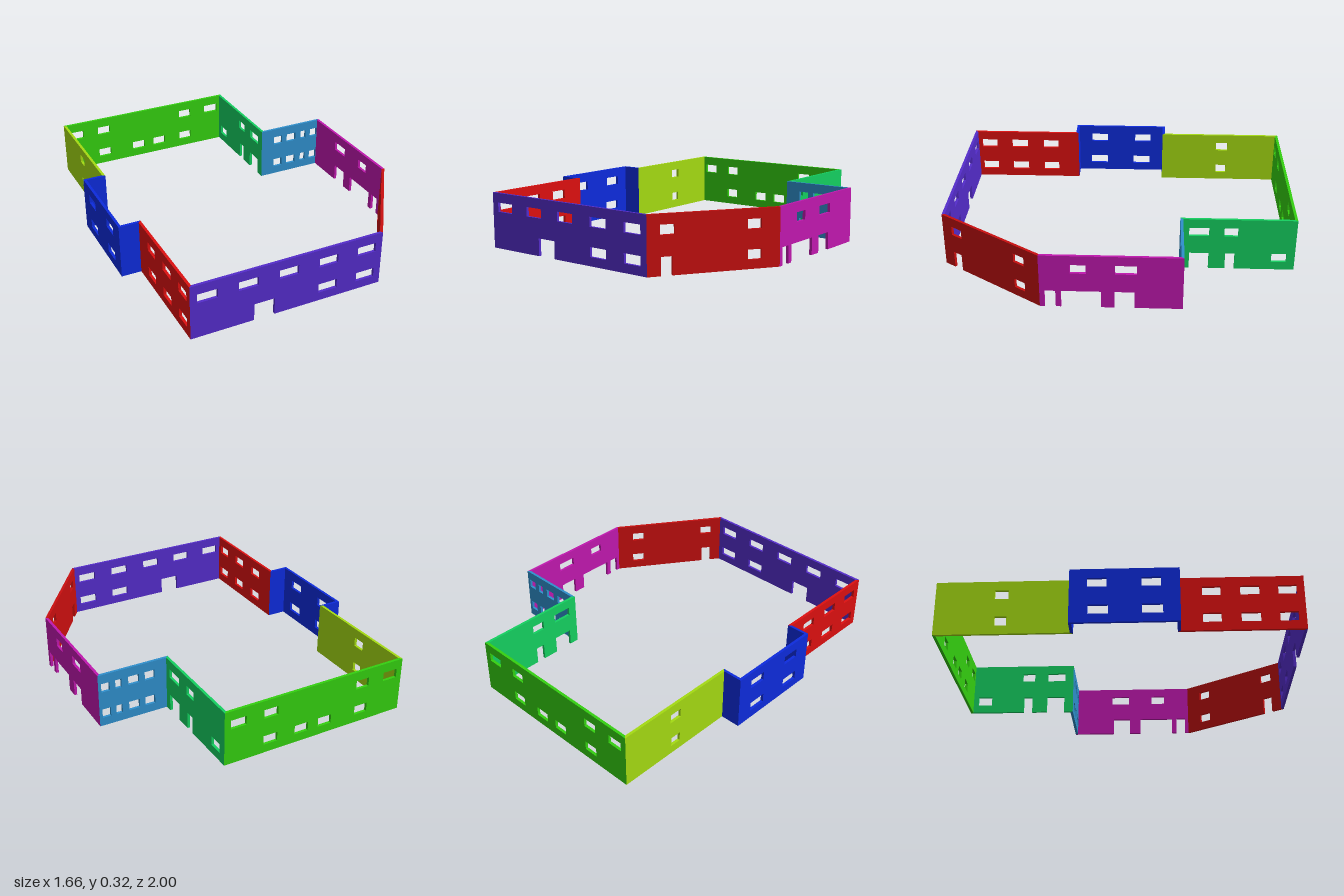
import * as THREE from 'three';

const H = 0.32, T = 0.016;             // wall height and thickness
const UP = [0.212, 0.265], LOW = [0.05, 0.104], DOOR = 0.1;

// Walls in order around the plan. Openings are [from, to] spans along the
// given world axis: upper windows, lower windows and doors.
const walls = [
  { name: 'frontWall', color: 0x542cca, start: [-0.71, 1], axis: 0,
    up: [[-0.673, -0.56], [-0.442, -0.33], [-0.207, -0.095], [0.03, 0.143], [0.265, 0.377]],
    low: [[0.03, 0.143], [0.265, 0.377]], doors: [[-0.353, -0.233]] },
  { name: 'diagonalWall', color: 0xc90f0f, start: [0.417, 1], axis: 1,
    up: [[0.942, 0.88], [0.557, 0.495]], low: [[0.557, 0.495]], doors: [[0.94, 0.89]] },
  { name: 'rightWall', color: 0xc018ae, start: [0.828, 0.41], axis: 1,
    up: [[0.243, 0.158], [0.003, -0.112]],
    doors: [[0.383, 0.324], [0.295, 0.08], [0.008, -0.1]] },
  { name: 'rightReturnWall', color: 0x2f8fcc, start: [0.828, -0.36], axis: 0,
    up: [[0.81, 0.76], [0.727, 0.69], [0.65, 0.585], [0.55, 0.49]],
    low: [[0.81, 0.76], [0.727, 0.69], [0.65, 0.585], [0.55, 0.49]] },
  { name: 'rightRearWall', color: 0x14d060, start: [0.417, -0.36], axis: 1,
    up: [[-0.396, -0.509], [-0.594, -0.672]], low: [[-0.867, -0.953]],
    doors: [[-0.4, -0.511], [-0.605, -0.659]] },
  { name: 'backWall', color: 0x34d010, start: [0.417, -1], axis: 0,
    up: [[0.38, 0.287], [0.18, 0.095], [-0.407, -0.49], [-0.59, -0.68]],
    low: [[0.18, 0.095], [-0.015, -0.1], [-0.165, -0.25], [-0.407, -0.49]] },
  { name: 'leftRearWall', color: 0xa4da12, start: [-0.714, -1], axis: 1,
    up: [[-0.675, -0.6]], low: [[-0.67, -0.605]] },
  { name: 'bayRearReturn', color: 0x0d2bdd, start: [-0.714, -0.26], axis: 0 },
  { name: 'bayWall', color: 0x0d2bdd, start: [-0.83, -0.26], axis: 1,
    up: [[-0.165, -0.06], [0.125, 0.23]], low: [[-0.16, -0.05], [0.126, 0.238]] },
  { name: 'bayFrontReturn', color: 0x0d2bdd, start: [-0.83, 0.33], axis: 0 },
  { name: 'leftFrontWall', color: 0xdd1010, start: [-0.714, 0.33], axis: 1,
    up: [[0.45, 0.55], [0.655, 0.76], [0.86, 0.96]],
    low: [[0.45, 0.55], [0.655, 0.76], [0.86, 0.96]] },
];
walls[0].start[0] = -0.714;

const wrap = (a) => Math.atan2(Math.sin(a), Math.cos(a));
const poly = (pts) => pts.map(([x, y]) => new THREE.Vector2(x, y));

function buildWall(w, a, b, turnIn, turnOut) {
  const L = Math.hypot(b[0] - a[0], b[1] - a[1]);
  // world span -> sorted distances along the wall
  const along = (span) => span
    .map((v) => (v - a[w.axis]) / (b[w.axis] - a[w.axis]) * L)
    .sort((p, q) => p - q);

  // elevation with door notches cut from the bottom edge
  const pts = [[0, 0]];
  (w.doors || []).map(along).sort((p, q) => p[0] - q[0]).forEach(([s, e]) =>
    pts.push([s, 0], [s, DOOR], [e, DOOR], [e, 0]));
  pts.push([L, 0], [L, H], [0, H]);
  const shape = new THREE.Shape(poly(pts));

  // window holes
  const cut = (spans, [y0, y1]) => (spans || []).map(along).forEach(([s, e]) =>
    shape.holes.push(new THREE.Path(poly([[s, y0], [s, y1], [e, y1], [e, y0]]))));
  cut(w.up, UP);
  cut(w.low, LOW);

  const geo = new THREE.ExtrudeGeometry(shape, { depth: T, bevelEnabled: false });
  geo.translate(0, 0, -T);
  // mitre the inner ends so neighbouring walls meet cleanly
  const p = geo.attributes.position;
  for (let i = 0; i < p.count; i++) {
    if (p.getZ(i) > -T / 2) continue;
    if (p.getX(i) < 1e-4) p.setX(i, T * Math.tan(turnIn / 2));
    else if (p.getX(i) > L - 1e-4) p.setX(i, L - T * Math.tan(turnOut / 2));
  }
  geo.computeVertexNormals();

  const mesh = new THREE.Mesh(geo, new THREE.MeshStandardMaterial({ color: w.color }));
  mesh.name = w.name;
  mesh.position.set(a[0], 0, a[1]);
  mesh.rotation.y = Math.atan2(a[1] - b[1], b[0] - a[0]);
  return mesh;
}

export function createModel() {
  const group = new THREE.Group();
  group.name = 'buildingWalls';
  const n = walls.length;
  const corner = (i) => walls[(i + n) % n].start;
  const heading = (i) => {
    const a = corner(i), b = corner(i + 1);
    return Math.atan2(a[1] - b[1], b[0] - a[0]);
  };
  walls.forEach((w, i) => group.add(buildWall(w, corner(i), corner(i + 1),
    wrap(heading(i) - heading(i - 1)), wrap(heading(i + 1) - heading(i)))));
  return group;
}
